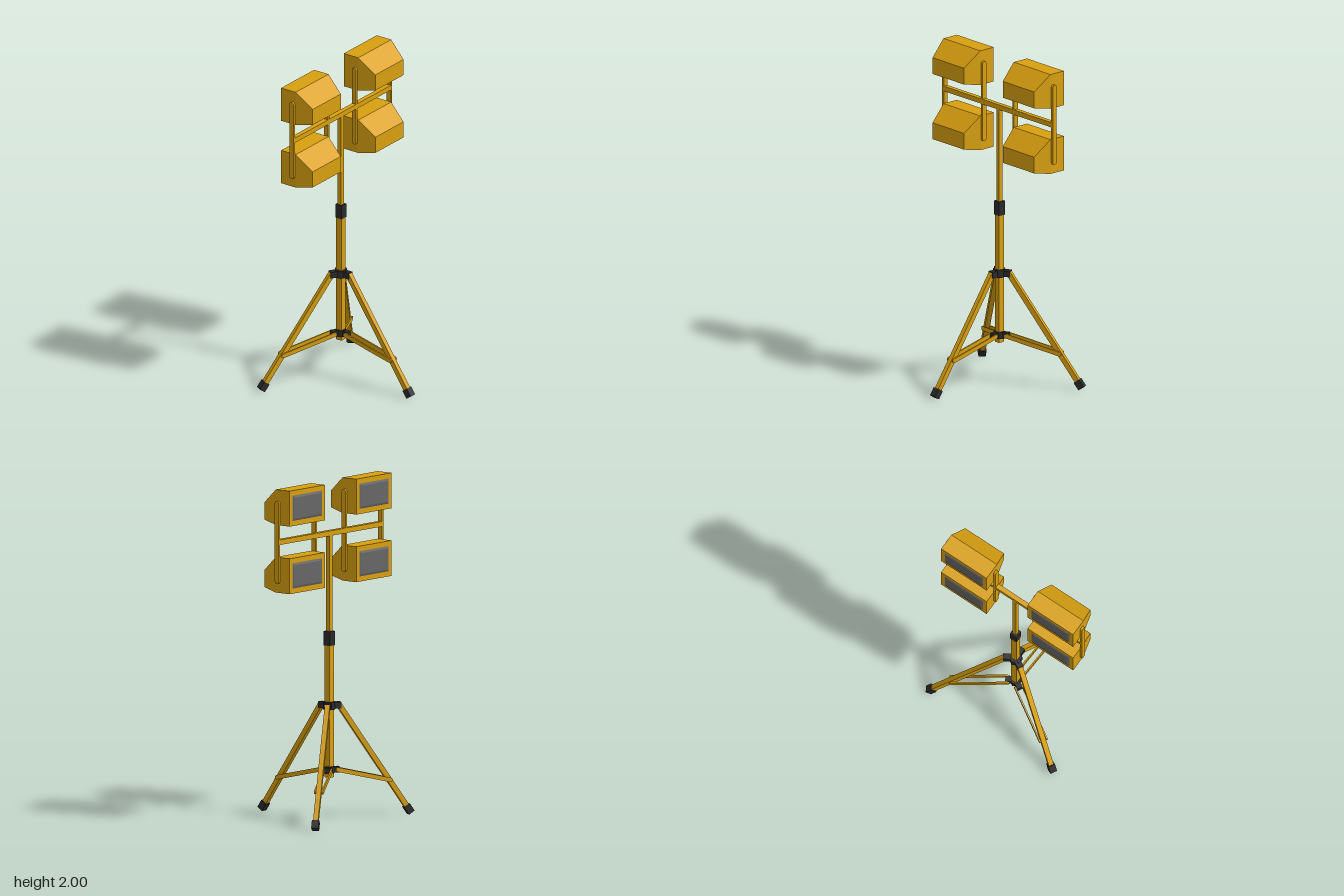
import * as THREE from 'three';
import { ConvexGeometry } from 'three/addons/geometries/ConvexGeometry.js';

const POLE_Z = -0.122;

export function createModel() {
  const yellow = new THREE.MeshStandardMaterial({ color: 0xd9a010 });
  const black = new THREE.MeshStandardMaterial({ color: 0x2a2a2c });
  const glass = new THREE.MeshStandardMaterial({ color: 0x666666 });
  yellow.name = 'yellowPaint';
  black.name = 'blackPlastic';
  glass.name = 'greyGlass';

  const model = new THREE.Group();
  model.name = 'workLightTower';

  function add(parent, name, geometry, material, x = 0, y = 0, z = 0) {
    const mesh = new THREE.Mesh(geometry, material);
    mesh.name = name;
    mesh.position.set(x, y, z);
    parent.add(mesh);
    return mesh;
  }
  const box = (w, h, d) => new THREE.BoxGeometry(w, h, d);

  // Round-ended flat bar along y, thin in x
  function flatBar(length, width, thickness) {
    const r = width / 2, s = length / 2 - r;
    const shape = new THREE.Shape();
    shape.absarc(0, s, r, 0, Math.PI, false);
    shape.absarc(0, -s, r, Math.PI, Math.PI * 2, false);
    shape.closePath();
    return new THREE.ExtrudeGeometry(shape, { depth: thickness, bevelEnabled: false, curveSegments: 6 })
      .translate(0, 0, -thickness / 2).rotateY(Math.PI / 2);
  }

  // Solid through rectangular sections: [z, half width, bottom, top]
  function loft(sections) {
    const points = [];
    for (const [z, w, y0, y1] of sections)
      for (const x of [-w, w])
        for (const y of [y0, y1]) points.push(new THREE.Vector3(x, y, z));
    return new ConvexGeometry(points);
  }

  // Place a part along a segment in the local yz plane; points are [y, z]
  function along(mesh, a, b) {
    mesh.position.y = (a[0] + b[0]) / 2;
    mesh.position.z = (a[1] + b[1]) / 2;
    mesh.rotation.x = Math.atan2(b[1] - a[1], b[0] - a[0]);
  }
  const distance = (a, b) => Math.hypot(a[0] - b[0], a[1] - b[1]);

  // Telescopic mast and crossbar
  const stand = new THREE.Group();
  stand.name = 'stand';
  stand.position.z = POLE_Z;
  model.add(stand);
  add(stand, 'lowerPole', box(0.038, 0.8, 0.038), yellow, 0, 0.645, 0);
  add(stand, 'upperPole', box(0.026, 0.62, 0.026), yellow, 0, 1.38, 0);
  add(stand, 'poleSleeve', box(0.046, 0.085, 0.046), black, 0, 1.068, 0);
  add(stand, 'crossbar', box(0.96, 0.03, 0.03), yellow, 0, 1.69, 0);

  // Hubs
  const upperHub = new THREE.CylinderGeometry(0.04, 0.04, 0.045, 6);
  const lowerHub = new THREE.CylinderGeometry(0.034, 0.034, 0.04, 6);
  add(stand, 'upperHub', upperHub.toNonIndexed(), black, 0, 0.67, 0);
  add(stand, 'lowerHub', lowerHub.toNonIndexed(), black, 0, 0.29, 0);

  // Three legs with paired braces
  const legTop = [0.675, 0.058], legEnd = [0.033, 0.495];
  const braceIn = [0.293, 0.035], braceOut = [0.209, 0.388];
  for (let i = 0; i < 3; i++) {
    const leg = new THREE.Group();
    leg.name = 'tripodLeg' + (i + 1);
    leg.rotation.y = i * Math.PI * 2 / 3;
    stand.add(leg);
    along(add(leg, 'legTube', box(0.03, distance(legTop, legEnd), 0.03), yellow), legTop, legEnd);
    const foot = add(leg, 'foot', box(0.042, 0.052, 0.04), black);
    along(foot, legTop, legEnd);
    foot.position.set(0, legEnd[0], legEnd[1]);
    add(leg, 'upperLug', box(0.036, 0.038, 0.045), black, 0, 0.67, 0.048);
    add(leg, 'lowerLug', box(0.034, 0.034, 0.04), black, 0, 0.29, 0.04);
    for (const side of [-1, 1]) {
      const brace = add(leg, 'brace', flatBar(distance(braceIn, braceOut), 0.026, 0.009), yellow, side * 0.022);
      along(brace, braceIn, braceOut);
    }
  }

  // Four floodlights, glass facing the back
  const housing = loft([
    [-0.208, 0.162, -0.105, 0.105],
    [-0.103, 0.162, -0.105, 0.105],
    [0.004, 0.138, -0.085, 0.015],
  ]);
  const lens = loft([
    [-0.207, 0.137, -0.077, 0.077],
    [-0.213, 0.122, -0.062, 0.062],
  ]);
  for (const side of [-1, 1]) {
    for (const y of [1.495, 1.895]) {
      const lamp = new THREE.Group();
      lamp.name = 'floodlight';
      lamp.position.set(side * 0.308, y, 0);
      model.add(lamp);
      add(lamp, 'housing', housing, yellow);
      add(lamp, 'lens', lens, glass);
    }
    // Upright brackets on both sides of each lamp pair
    for (const x of [0.138, 0.478])
      add(model, 'lampBracket', flatBar(0.49, 0.03, 0.014), yellow, side * x, 1.69, POLE_Z);
  }

  return model;
}
